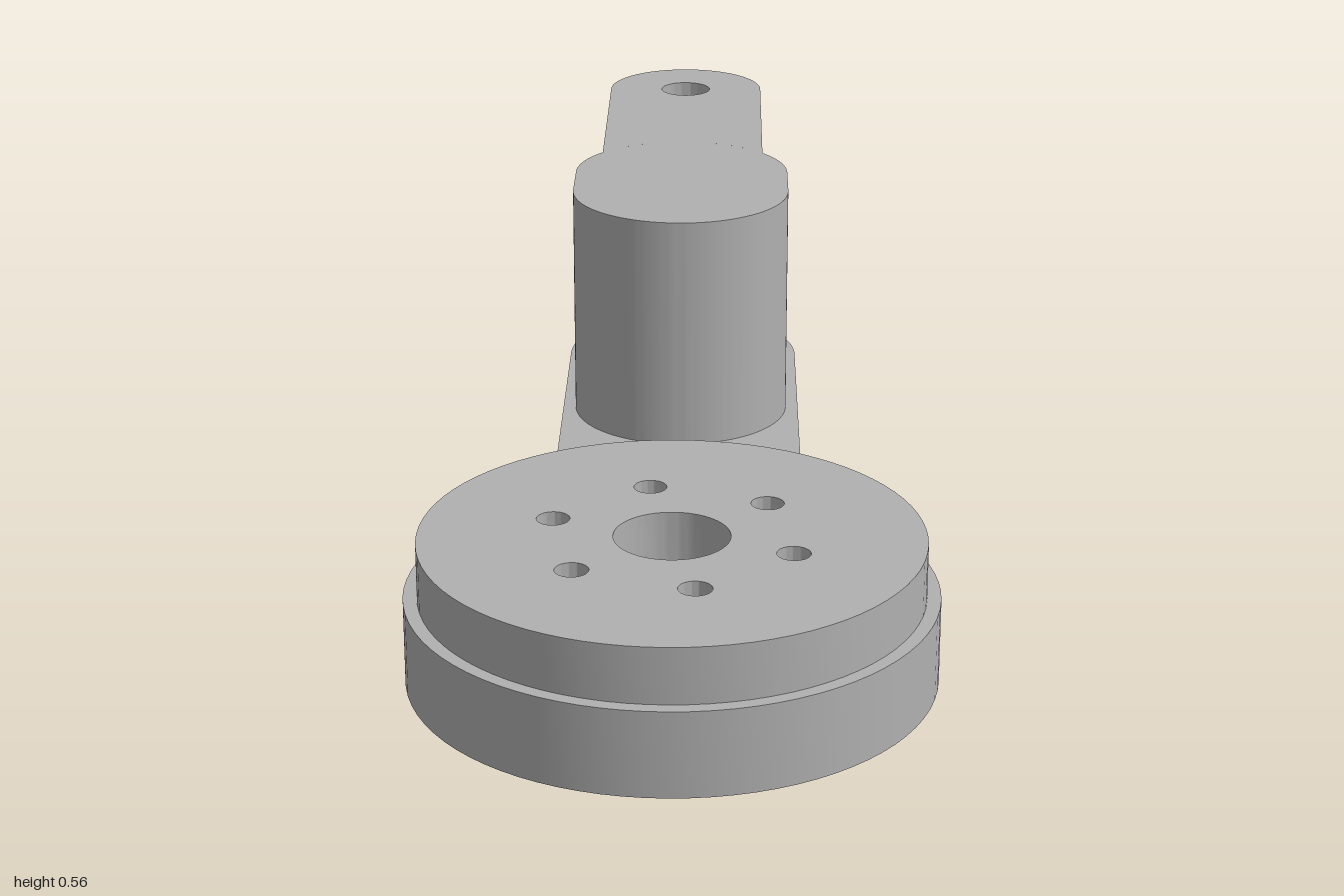
import * as THREE from 'three';
import { toCreasedNormals } from 'three/addons/utils/BufferGeometryUtils.js';

const grey = new THREE.MeshStandardMaterial({ color: 0xb0b0b0 });
grey.name = 'plain grey';
const PI = Math.PI;
const DISC_Z = 0.617;

// Plan shapes are drawn in (x, z) and extruded between two heights.
function slab(name, shape, y0, y1) {
  let g = new THREE.ExtrudeGeometry(shape, { depth: y1 - y0, bevelEnabled: false, curveSegments: 40 });
  g.rotateX(PI / 2);
  g.translate(0, y1, 0);
  g = toCreasedNormals(g, 0.5);
  const m = new THREE.Mesh(g, grey);
  m.name = name;
  return m;
}

function stadium(r, zBack, zFront, Type = THREE.Shape) {
  const s = new Type();
  s.absarc(0, zFront, r, 0, PI, false);
  s.absarc(0, zBack, r, PI, 2 * PI, false);
  s.closePath();
  return s;
}

function circle(x, z, r, Type = THREE.Path) {
  const s = new Type();
  s.absarc(x, z, r, 0, 2 * PI, false);
  return s;
}

// Rounded front end of the arm, with a scallop clearing one screw hole
function armFront(s, start, end) {
  const cx = 0.135, cz = 0.495, dir = Math.atan2(cz - 0.345, cx);
  s.absarc(0, 0.345, 0.195, start, dir - 0.277, false);
  s.absarc(cx, cz, 0.055, dir + PI + 1.31, dir + PI - 1.31, true);
  s.absarc(0, 0.345, 0.195, dir + 0.277, end, false);
}

function createArm() {
  const arm = new THREE.Group();
  arm.name = 'arm';
  // Bottom layer, with the slot pocket and screw clearance hole
  const base = new THREE.Shape();
  armFront(base, 0, PI);
  base.absarc(0, -0.46, 0.195, PI, 2 * PI, false);
  base.closePath();
  base.holes.push(stadium(0.085, -0.135, 0.135, THREE.Path), circle(-0.035, 0.44, 0.055));
  arm.add(slab('armBase', base, 0, 0.08));

  // Upper layer, cut round to receive the disc
  const body = new THREE.Shape();
  body.absarc(0, -0.46, 0.195, PI, 2 * PI, false);
  body.absarc(0, DISC_Z, 0.38, -1.032, -PI + 1.032, true);
  body.closePath();
  arm.add(slab('armBody', body, 0.08, 0.19));

  // Pad under the disc, leaving a narrow groove behind it
  const pad = new THREE.Shape();
  armFront(pad, 0.09, PI - 0.09);
  pad.absarc(0, DISC_Z, 0.32, -PI + 0.919, -0.919, false);
  pad.closePath();
  pad.holes.push(circle(-0.035, 0.44, 0.055));
  arm.add(slab('discPad', pad, 0.08, 0.105));
  return arm;
}

function createDisc() {
  const disc = new THREE.Group();
  disc.name = 'mountingDisc';
  for (const [name, r, y0, y1] of [['discRim', 0.38, 0.105, 0.232], ['discTop', 0.36, 0.232, 0.315]]) {
    const s = circle(0, DISC_Z, r, THREE.Shape);
    s.holes.push(circle(0, DISC_Z, 0.083));
    for (let i = 0; i < 6; i++) {
      const a = -1.764 + i * PI / 3;
      s.holes.push(circle(0.18 * Math.cos(a), DISC_Z + 0.18 * Math.sin(a), 0.024));
    }
    disc.add(slab(name, s, y0, y1));
  }
  return disc;
}

function createFork() {
  const fork = new THREE.Group();
  fork.name = 'fork';
  const pinZ = -0.825;
  fork.add(slab('post', stadium(0.175, -0.31, -0.21), 0.19, 0.565));

  // Upper prong starts on the rounded back of the post
  const upper = new THREE.Shape();
  upper.absarc(0, pinZ, 0.135, PI, 2 * PI, false);
  upper.lineTo(0.135, -0.4214);
  upper.absarc(0, -0.31, 0.175, -0.69, -PI + 0.69, true);
  upper.closePath();
  upper.holes.push(circle(0, pinZ, 0.043));
  fork.add(slab('upperProng', upper, 0.485, 0.565));

  // Lower prong: thin full-width floor below a plate with a curved side bite
  const floor = new THREE.Shape();
  floor.absarc(0, pinZ, 0.174, PI, 2 * PI, false);
  floor.lineTo(0.174, -0.33);
  floor.lineTo(-0.174, -0.33);
  floor.closePath();
  floor.holes.push(circle(0, pinZ, 0.043));
  fork.add(slab('lowerProngFloor', floor, 0.19, 0.2));

  const plate = new THREE.Shape();
  plate.absarc(0, pinZ, 0.174, PI, 2 * PI + 0.57, false);
  plate.bezierCurveTo(0.11, -0.69, 0.06, -0.69, 0.06, -0.63);
  plate.bezierCurveTo(0.06, -0.58, 0.1, -0.56, 0.135, -0.54);
  plate.lineTo(0.174, -0.5);
  plate.lineTo(0.174, -0.33);
  plate.lineTo(-0.174, -0.33);
  plate.closePath();
  plate.holes.push(circle(0, pinZ, 0.043));
  fork.add(slab('lowerProng', plate, 0.2, 0.27));
  return fork;
}

export function createModel() {
  const model = new THREE.Group();
  model.name = 'linkArm';
  model.add(createArm(), createDisc(), createFork());
  return model;
}
